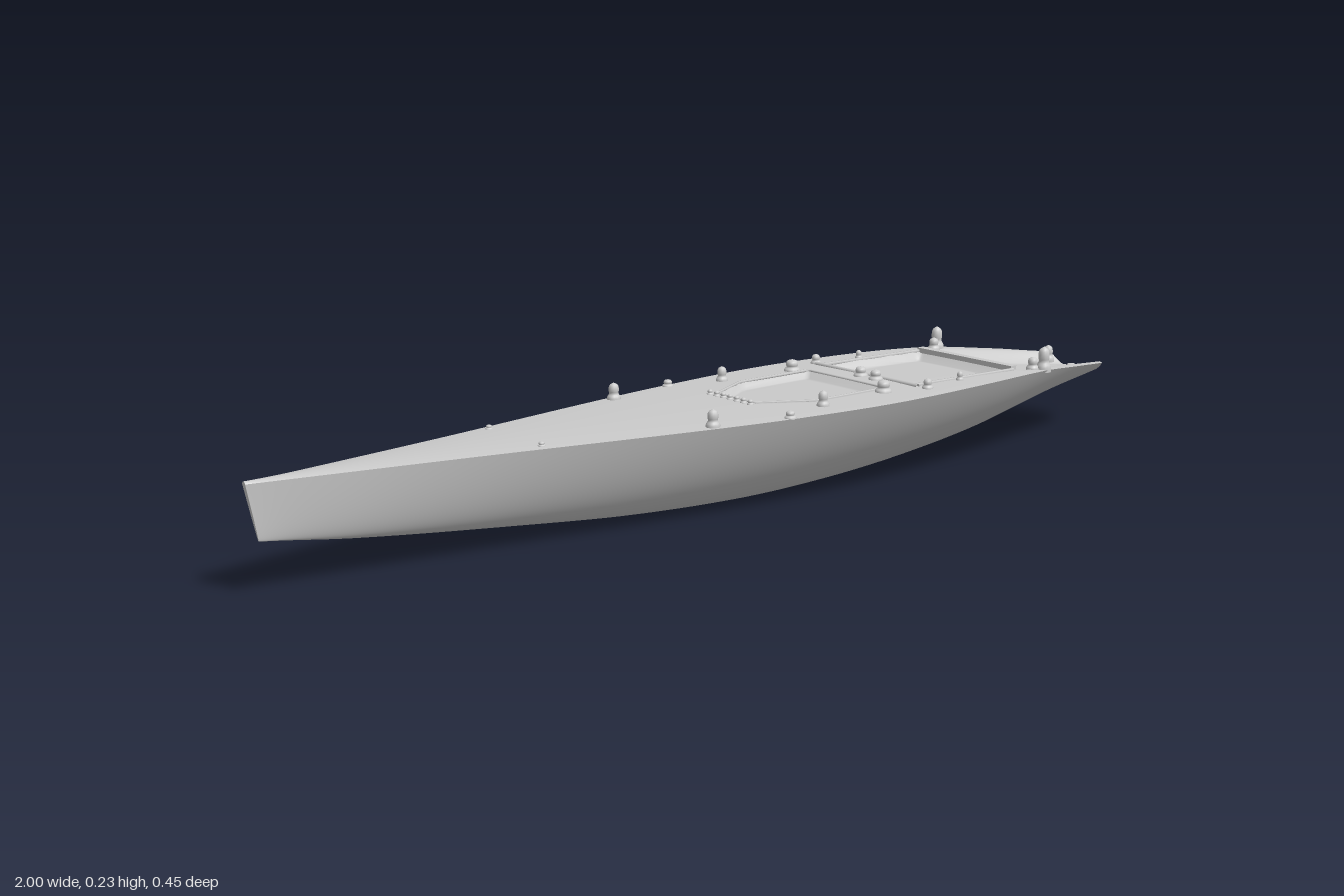
import * as THREE from 'three';

const grey = new THREE.MeshStandardMaterial({ color: 0xcccccc, side: THREE.DoubleSide });
const { smoothstep, clamp } = THREE.MathUtils;

// Smooth curve through [x, value] points
function curve(pts) {
  const slope = pts.map((p, i) => {
    const a = pts[Math.max(i - 1, 0)], b = pts[Math.min(i + 1, pts.length - 1)];
    return (b[1] - a[1]) / (b[0] - a[0]);
  });
  return (x) => {
    let i = 0;
    while (i < pts.length - 2 && x > pts[i + 1][0]) i++;
    const [x0, y0] = pts[i], [x1, y1] = pts[i + 1], h = x1 - x0;
    const t = clamp((x - x0) / h, 0, 1), t2 = t * t, t3 = t2 * t;
    return (2 * t3 - 3 * t2 + 1) * y0 + (t3 - 2 * t2 + t) * h * slope[i]
      + (3 * t2 - 2 * t3) * y1 + (t3 - t2) * h * slope[i + 1];
  };
}

// Lines of the boat: half beam, keel height and deck edge height along x
const beam = curve([[-1, 0.006], [-0.6, 0.083], [-0.2, 0.168], [0, 0.203], [0.25, 0.226],
  [0.5, 0.211], [0.7, 0.177], [0.85, 0.135], [0.98, 0.092]]);
const keel = curve([[-1, 0.102], [-0.75, 0.067], [-0.5, 0.038], [-0.25, 0.013], [0, 0.002],
  [0.2, 0.007], [0.4, 0.022], [0.6, 0.047], [0.8, 0.087], [0.98, 0.115]]);
const sheer = curve([[-1, 0.205], [-0.5, 0.198], [0, 0.192], [0.5, 0.188], [0.7, 0.181],
  [0.85, 0.164], [0.98, 0.148]]);
const edgeY = (x, z) => sheer(x) + 0.03 * z;

// How far a point lies inside the recessed panels, 0 to 1
const ramp = (d) => smoothstep(d, 0, 0.014);
function recess(x, z) {
  const a = Math.abs(z);
  const front = ramp(Math.min(x - 0.02, 0.305 - x, 0.118 - a, 0.055 + (x - 0.02) * 0.6 - a));
  const rear = ramp(Math.min(x - 0.365, 0.64 - x, 0.138 - a));
  const aft = ramp(x - 0.655) * (1 - smoothstep(a / beam(x), 0.45, 0.85));
  return 0.014 * front + 0.018 * rear + 0.026 * aft;
}
function deckY(x, z) {
  const v = Math.min(Math.abs(z) / beam(x), 1);
  const camber = 0.004 * (1 - v * v) * (1 - smoothstep(x, 0.4, 0.8));
  return edgeY(x, z) + camber - recess(x, z);
}

// Hull and deck share stations so their edges meet
const X0 = -1, X1 = 0.98, NX = 190, NZ = 60;
function hullPoint(x, v, onDeck) {
  const z = beam(x) * v, t = Math.pow(Math.abs(v), 2.2);
  const y = onDeck ? deckY(x, z) : keel(x) + t * (edgeY(x, z) - keel(x));
  const rake = onDeck ? 0 : 0.02 * (1 - t) * (1 - smoothstep(x, -1, -0.8));
  const round = 0.03 * (0.6 - v * v) * smoothstep(x, 0.85, X1);
  return [x + rake + round, y, z];
}

// Surface from a rule over an nu by nv grid
function grid(name, nu, nv, point, flip) {
  const pos = [], idx = [];
  for (let i = 0; i <= nu; i++)
    for (let j = 0; j <= nv; j++) pos.push(...point(i / nu, j / nv));
  for (let i = 0; i < nu; i++)
    for (let j = 0; j < nv; j++) {
      const a = i * (nv + 1) + j, b = a + nv + 1;
      idx.push(...(flip ? [a, a + 1, b, b, a + 1, b + 1] : [a, b, a + 1, b, b + 1, a + 1]));
    }
  const g = new THREE.BufferGeometry();
  g.setAttribute('position', new THREE.Float32BufferAttribute(pos, 3));
  g.setIndex(idx);
  g.computeVertexNormals();
  return mesh(name, g);
}

function mesh(name, geometry) {
  const m = new THREE.Mesh(geometry, grey);
  m.name = name;
  return m;
}

// Straight rail segments laid along the deck
function rail(name, pts, r, lift) {
  const path = new THREE.CurvePath();
  const p = pts.map(([x, z]) => new THREE.Vector3(x, deckY(x, z) + lift, z));
  for (let i = 0; i < p.length - 1; i++) path.add(new THREE.LineCurve3(p[i], p[i + 1]));
  return mesh(name, new THREE.TubeGeometry(path, pts.length * 12, r, 6, false));
}

// Rounded deck fitting with a flared foot
function fitting(name, x, z, r, h) {
  const profile = [[1.15, -0.1], [1.1, 0.15], [0.75, 0.35], [0.85, 0.55], [0.7, 0.85], [0, 1]]
    .map(([a, b]) => new THREE.Vector2(a * r, b * h));
  const m = mesh(name, new THREE.LatheGeometry(new THREE.SplineCurve(profile).getPoints(12)
    .map((p) => new THREE.Vector2(Math.max(p.x, 0), p.y)).reverse(), 12));
  m.position.set(x, deckY(x, z), z);
  return m;
}

export function createModel() {
  const boat = new THREE.Group();
  boat.name = 'sailingBoatHull';

  const along = (u) => X0 + (X1 - X0) * u;
  boat.add(
    grid('hull', NX, NZ, (u, v) => hullPoint(along(u), v * 2 - 1, false), false),
    grid('deck', NX, NZ, (u, v) => hullPoint(along(u), v * 2 - 1, true), true));

  // End faces close the gap between hull and deck
  for (const [name, x, flip] of [['stem', X0, true], ['transom', X1, false]])
    boat.add(grid(name, 1, NZ, (u, v) => hullPoint(x, v * 2 - 1, u > 0.5), flip));

  // Cockpit edges
  boat.add(rail('frontPanelEdge', [[0.305, 0.118], [0.125, 0.118], [0.02, 0.058],
    [0.02, -0.058], [0.125, -0.118], [0.305, -0.118], [0.305, 0.118]], 0.003, 0));
  for (const s of [-1, 1])
    boat.add(rail('sideCoaming', [[0.365, s * 0.14], [0.64, s * 0.14]], 0.004, 0.001));
  boat.add(rail('thwart', [[0.362, -0.16], [0.362, 0.15]], 0.005, 0.001));

  // Traveller bar across the cockpit
  const bar = mesh('travellerBar', new THREE.BoxGeometry(0.016, 0.018, 0.28));
  bar.position.set(0.645, 0.184, -0.003);
  bar.rotation.x = -0.03;
  boat.add(bar);

  // Paired fittings: x, z, radius, height
  const pairs = [[-0.155, 0.158, 0.012, 0.033], [0, 0.192, 0.01, 0.014],
    [0.11, 0.157, 0.011, 0.03], [0.28, 0.14, 0.015, 0.024], [0.37, 0.17, 0.01, 0.02],
    [0.475, 0.153, 0.007, 0.018], [0.71, 0.16, 0.014, 0.048], [0.69, 0.148, 0.012, 0.026],
    [-0.48, 0.088, 0.006, 0.008]];
  for (const [x, z, r, h] of pairs)
    for (const s of [-1, 1]) boat.add(fitting('deckFitting', x, s * z, r, h));

  // Centre and stern fittings
  for (const [x, z, r, h] of [[0.345, 0, 0.013, 0.02], [0.345, 0.045, 0.013, 0.02],
    [0.73, 0, 0.01, 0.012], [0.96, -0.06, 0.012, 0.034], [0.96, 0.01, 0.012, 0.012]])
    boat.add(fitting('centreFitting', x, z, r, h));

  // Row of line guides ahead of the cockpit
  for (let i = -3; i <= 3; i++) boat.add(fitting('lineGuide', 0.008, i * 0.021, 0.006, 0.01));

  return boat;
}
